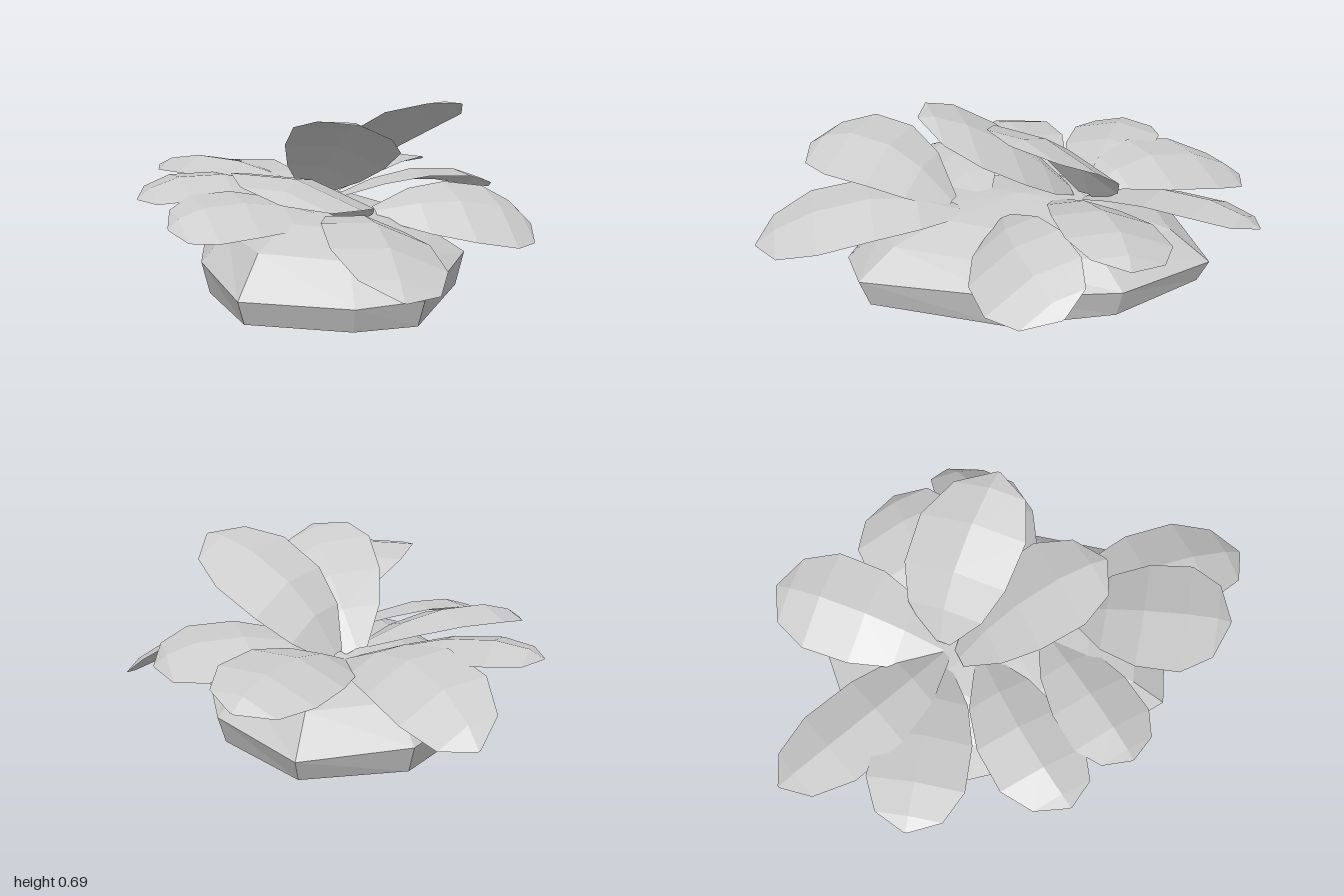
import * as THREE from 'three';

const material = new THREE.MeshStandardMaterial({
  color: 0xcccccc, flatShading: true, side: THREE.DoubleSide,
});

// Skin a list of equally long cross-sections, optionally closed around.
function loft(sections, closed) {
  const n = sections[0].length;
  const index = [];
  for (let i = 0; i < sections.length - 1; i++) {
    for (let j = 0; j < (closed ? n : n - 1); j++) {
      const a = i * n + j, b = i * n + (j + 1) % n;
      index.push(a, b, a + n, b, b + n, a + n);
    }
  }
  const geometry = new THREE.BufferGeometry().setFromPoints(sections.flat());
  geometry.setIndex(index);
  geometry.computeVertexNormals();
  return geometry;
}

// Leaf: an arched, ridged midrib through root, middle and tip, with tilted sides.
// Each station is [position along the midrib, share of the half width].
const STATIONS = [[0, 0.2], [0.22, 0.72], [0.45, 0.97], [0.72, 1], [0.91, 0.68], [1, 0.03]];

function makeLeaf(name, rootPoint, midPoint, tipPoint, halfWidth, roll) {
  const [root, mid, tip] = [rootPoint, midPoint, tipPoint].map((p) => new THREE.Vector3(...p));
  const control = mid.clone().multiplyScalar(2).addScaledVector(root, -0.5).addScaledVector(tip, -0.5);
  const rib = new THREE.QuadraticBezierCurve3(root, control, tip);
  const along = tip.clone().sub(root).setY(0).normalize();
  const side = new THREE.Vector3(along.z, roll, -along.x);
  const sections = STATIONS.map(([t, width]) => [-1, 0, 1].map((s) => {
    const p = rib.getPoint(t).addScaledVector(side, s * halfWidth * width);
    p.y += (s === 0 ? 0.03 : -0.01) * width;
    return p;
  }));
  const leaf = new THREE.Mesh(loft(sections, false), material);
  leaf.name = name;
  return leaf;
}

// Mound: an uneven rim [x, y, z], running round from the front left.
const RIM = [
  [0.42, 0.13, 0.21], [0.46, 0.1, -0.22], [0.28, 0.08, -0.64], [-0.12, 0.1, -0.67],
  [-0.45, 0.11, -0.38], [-0.54, 0.12, 0.05], [-0.49, 0.09, 0.47],
  [-0.14, 0.09, 0.66], [0.1, 0.1, 0.66],
];

function makeMound() {
  const cx = -0.05;
  const ring = (scale, heightAt) => RIM.map(([x, y, z]) =>
    new THREE.Vector3(cx + (x - cx) * scale, heightAt(x, y), z * scale));
  const sections = [
    ring(0.94, () => 0),
    ring(1, (x, y) => y),
    ring(0.79, (x) => 0.21 - 0.03 * x),
    ring(0.5, (x) => 0.275 - 0.03 * x),
    ring(0.001, () => 0.31),
  ];
  const mound = new THREE.Mesh(loft(sections, true), material);
  mound.name = 'mound';
  return mound;
}

// name, root, middle, tip, half width, sideways tilt
const LEAVES = [
  ['backLeaf', [-0.01, 0.28, -0.24], [-0.14, 0.34, -0.6], [-0.21, 0.21, -1], 0.17, 0.32],
  ['backRightLeaf', [-0.05, 0.28, -0.27], [-0.33, 0.37, -0.46], [-0.59, 0.36, -0.64], 0.18, 0],
  ['backLeftLeaf', [0, 0.28, -0.24], [0.25, 0.35, -0.48], [0.5, 0.3, -0.72], 0.19, -0.2],
  ['leftBackLeaf', [0, 0.28, -0.15], [0.38, 0.35, -0.18], [0.67, 0.29, -0.16], 0.2, -0.22],
  ['leftFrontLeaf', [0.1, 0.28, 0.12], [0.45, 0.28, 0.17], [0.74, 0.19, 0.1], 0.17, 0.5],
  ['frontLeaf', [-0.02, 0.28, 0.25], [-0.05, 0.325, 0.62], [-0.09, 0.21, 1], 0.19, -0.25],
  ['frontRightLeaf', [-0.06, 0.3, 0.27], [-0.25, 0.47, 0.49], [-0.4, 0.47, 0.74], 0.225, -0.2],
  ['rightFrontLeaf', [-0.1, 0.28, 0.14], [-0.43, 0.33, 0.18], [-0.68, 0.29, 0.22], 0.17, -0.3],
  ['rightBackLeaf', [-0.1, 0.29, -0.12], [-0.45, 0.38, -0.12], [-0.75, 0.34, -0.07], 0.175, -0.1],
  ['upperLeftLeaf', [0.03, 0.3, -0.24], [0.19, 0.54, -0.09], [0.41, 0.68, 0.18], 0.21, -0.25],
  ['upperFrontLeaf', [-0.06, 0.3, -0.2], [-0.03, 0.51, 0.08], [-0.05, 0.65, 0.39], 0.2, -0.28],
];

export function createModel() {
  const model = new THREE.Group();
  model.name = 'leafyPlant';
  model.add(makeMound());
  for (const leaf of LEAVES) model.add(makeLeaf(...leaf));
  return model;
}
